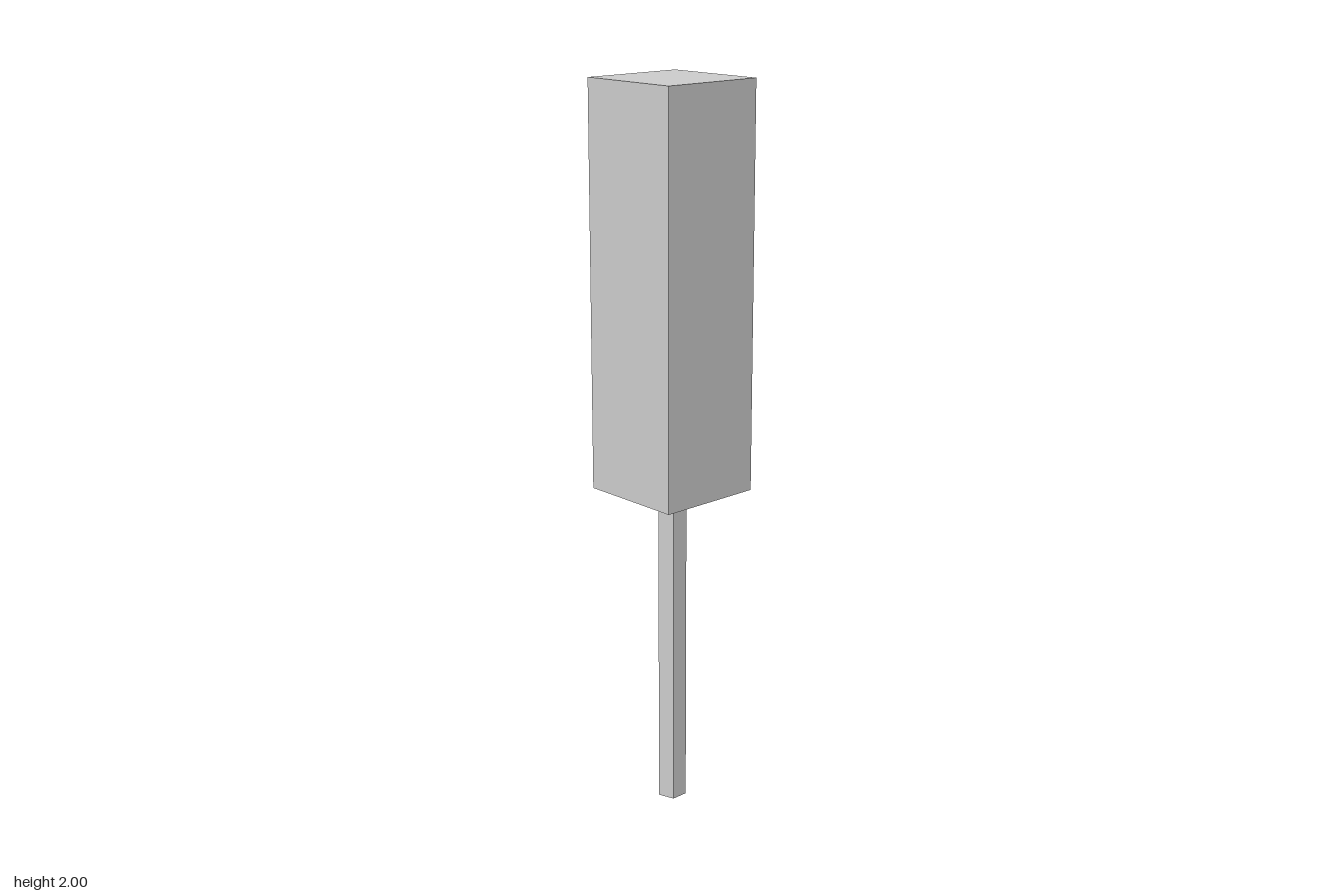
import * as THREE from 'three';

export function createModel() {
  const group = new THREE.Group();
  const material = new THREE.MeshStandardMaterial({ color: 0xcccccc, flatShading: true });

  function add(name, geometry, y) {
    const mesh = new THREE.Mesh(geometry, material);
    mesh.name = name;
    mesh.position.y = y;
    group.add(mesh);
    return mesh;
  }

  const split = 0.91; // where the stick meets the block

  // Square block on top
  add('block', new THREE.BoxGeometry(0.3, 2 - split, 0.3), (2 + split) / 2);

  // Five-sided stick with a flat side to the front
  const stick = add('stick', new THREE.CylinderGeometry(0.04, 0.04, split, 5), split / 2);
  stick.rotation.y = Math.PI;

  return group;
}
